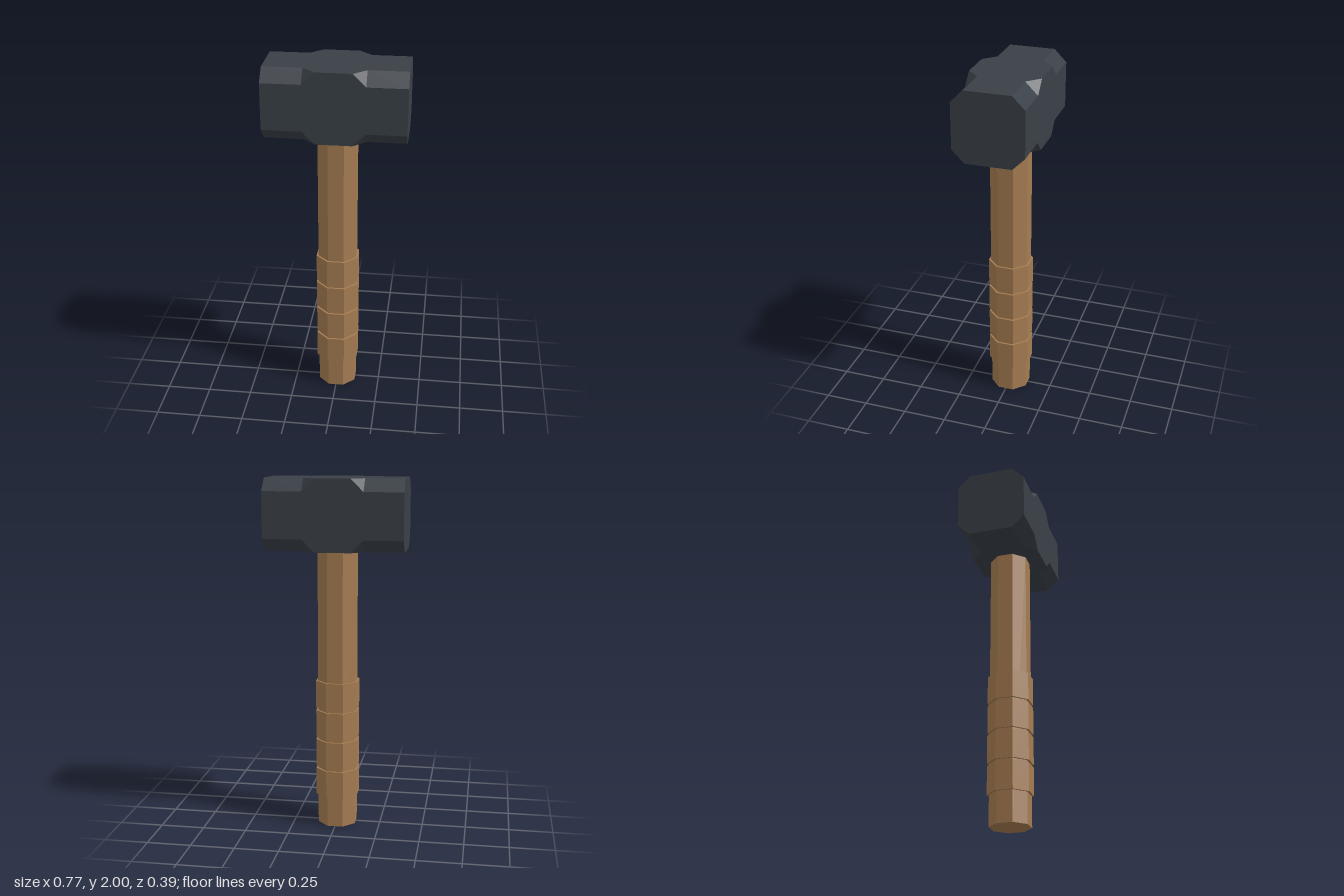
import * as THREE from 'three';

const mat = (name, color, flatShading = true) => {
  const m = new THREE.MeshStandardMaterial({ color, flatShading });
  m.name = name;
  return m;
};

// Octagonal prism with flats facing the axes; apothem = half width across flats
function octPrism(name, apothem, y0, y1, material) {
  const r = apothem / Math.cos(Math.PI / 8);
  const geo = new THREE.CylinderGeometry(r, r, y1 - y0, 8);
  geo.rotateY(Math.PI / 8);
  geo.translate(0, (y0 + y1) / 2, 0);
  const mesh = new THREE.Mesh(geo, material);
  mesh.name = name;
  return mesh;
}

// Square cross-section of half size h at x, with its corners cut by c
function section(x, h, c) {
  const k = h - c;
  return [[h, -k], [h, k], [k, h], [-k, h], [-h, k], [-h, -k], [-k, -h], [k, -h]]
    .map(([y, z]) => new THREE.Vector3(x, y, z));
}

// Flat-faced loft along x, closed at both ends
function loft(rings) {
  const pos = [];
  const tri = (a, b, c) => {
    if (new THREE.Triangle(a, b, c).getArea() > 1e-7) {
      for (const p of [a, b, c]) pos.push(p.x, p.y, p.z);
    }
  };
  for (let s = 0; s < rings.length - 1; s++) {
    const a = rings[s], b = rings[s + 1];
    for (let i = 0; i < 8; i++) {
      const j = (i + 1) % 8;
      tri(a[i], a[j], b[j]);
      tri(a[i], b[j], b[i]);
    }
  }
  const first = rings[0], last = rings[rings.length - 1];
  for (let i = 1; i < 7; i++) {
    tri(first[0], first[i + 1], first[i]);
    tri(last[0], last[i], last[i + 1]);
  }
  const geo = new THREE.BufferGeometry();
  geo.setAttribute('position', new THREE.Float32BufferAttribute(pos, 3));
  geo.computeVertexNormals();
  return geo;
}

export function createModel() {
  const group = new THREE.Group();
  group.name = 'sledgehammer';
  const wood = mat('wood', 0xa67c52);
  const iron = mat('dark iron', 0x3a4047);

  // Handle shaft
  group.add(octPrism('handle', 0.107, 0, 1.62, wood));

  // Grip bands
  const grip = new THREE.Group();
  grip.name = 'grip';
  for (let i = 0; i < 4; i++) {
    const y = 0.175 + i * 0.1742;
    grip.add(octPrism('gripBand', 0.118, y, y + 0.16, wood));
  }
  group.add(grip);

  // Head: square in the middle, chamfered towards both striking faces
  const h = 0.197, c = 0.069;
  const head = new THREE.Mesh(loft([
    section(-0.385, h, c), section(-0.168, h, c), section(-0.099, h, 0),
    section(0.099, h, 0), section(0.168, h, c), section(0.385, h, c),
  ]), iron);
  head.name = 'head';
  head.position.y = 2 - h;
  group.add(head);

  return group;
}
